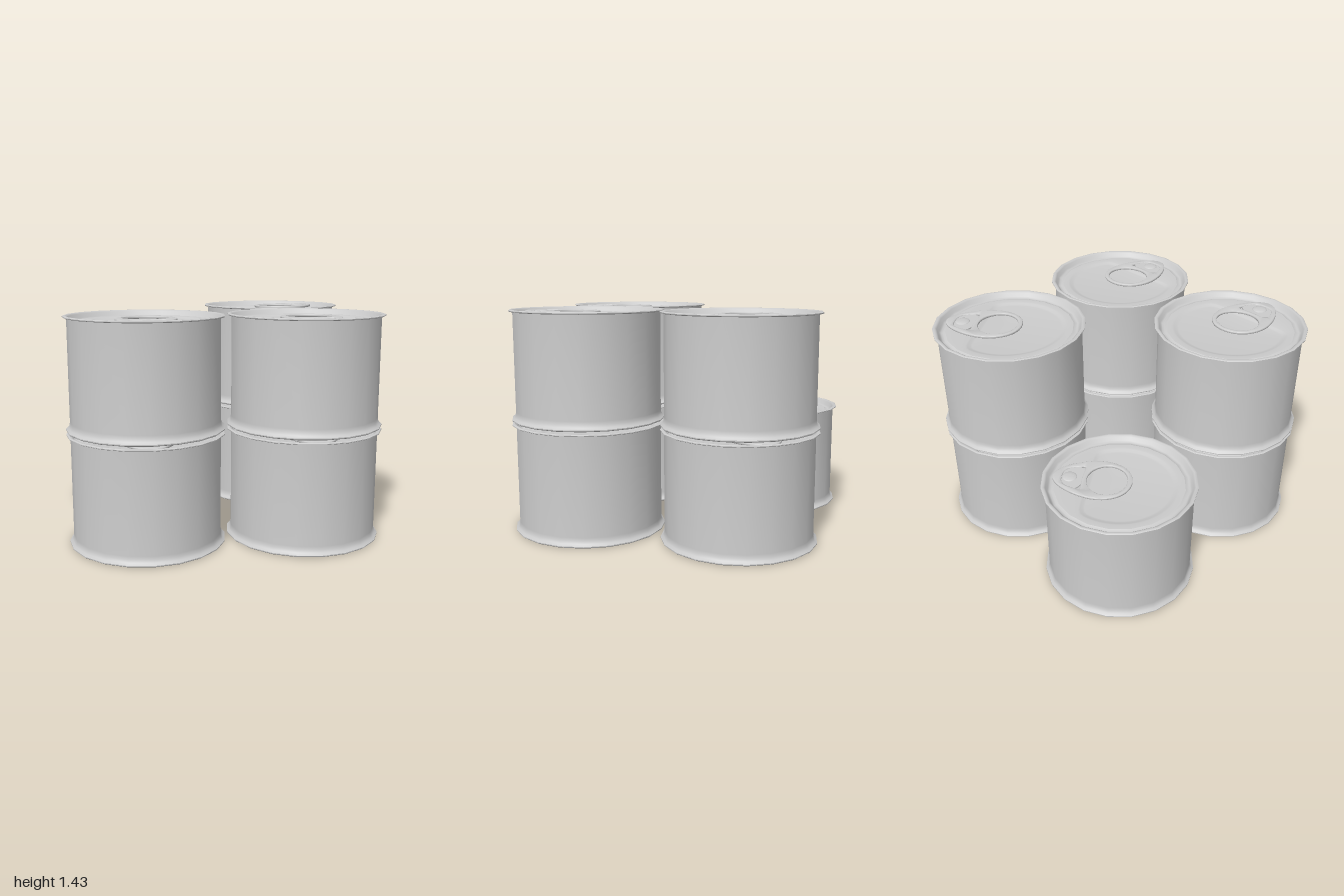
import * as THREE from 'three';
import { toCreasedNormals } from 'three/addons/utils/BufferGeometryUtils.js';

const SIDES = 20;
const material = new THREE.MeshStandardMaterial({ color: 0xcccccc, side: THREE.DoubleSide });

function part(name, geometry, crease = 0.7) {
  const mesh = new THREE.Mesh(toCreasedNormals(geometry, crease), material);
  mesh.name = name;
  return mesh;
}

// Can wall with recessed base, flared foot, rolled rim and countersunk lid edge
function bodyGeometry() {
  const profile = [
    [0, 0.016], [0.455, 0.016], [0.465, 0.002], [0.475, 0], [0.487, 0], [0.495, 0.006],
    [0.495, 0.012], [0.48, 0.024], [0.472, 0.04], [0.47, 0.06], [0.47, 0.692],
    [0.487, 0.694], [0.495, 0.698], [0.495, 0.703], [0.489, 0.707], [0.477, 0.707],
    [0.466, 0.699], [0.455, 0.675], [0.443, 0.667], [0.43, 0.667], [0.415, 0.674],
  ].map(([x, y]) => new THREE.Vector2(x, y));
  return new THREE.LatheGeometry(profile, SIDES);
}

// Radius of the D-shaped panel outline: a circle cut by a chord with soft corners
function panelRadius(angle, radius, chord) {
  const cut = Math.max(Math.cos(angle), 0) / chord;
  return Math.pow(Math.pow(1 / radius, 16) + Math.pow(cut, 16), -1 / 16);
}

// Lid with a stepped D-shaped panel, lofted from the edge to the centre
function lidGeometry() {
  const n = SIDES * 4;
  const step = (2 * Math.PI) / SIDES;
  const edge = (a) => (0.415 * Math.cos(step / 2)) / Math.cos((a % step) - step / 2);
  const loops = [
    [edge, 0.674],
    [(a) => panelRadius(a, 0.375, 0.212), 0.674],
    [(a) => panelRadius(a, 0.362, 0.203), 0.671],
    [(a) => panelRadius(a, 0.345, 0.19), 0.664],
    [(a) => panelRadius(a, 0.332, 0.18), 0.662],
    [() => 0.0001, 0.662],
  ];
  const positions = [], index = [];
  loops.forEach(([radius, y], j) => {
    for (let i = 0; i < n; i++) {
      const a = (i / n) * Math.PI * 2;
      positions.push(radius(a) * Math.sin(a), y, radius(a) * Math.cos(a));
      if (j === loops.length - 1) continue;
      const p = j * n + i, q = j * n + ((i + 1) % n);
      index.push(p, q, p + n, q, q + n, p + n);
    }
  });
  const geometry = new THREE.BufferGeometry();
  geometry.setAttribute('position', new THREE.Float32BufferAttribute(positions, 3));
  geometry.setIndex(index);
  return geometry;
}

// Egg-shaped ring pull with a finger hole and a shallow pad near the tip
function tabGeometry() {
  const shape = new THREE.Shape();
  shape.moveTo(0, -0.08);
  shape.bezierCurveTo(0.11, -0.08, 0.185, 0.01, 0.185, 0.13);
  shape.bezierCurveTo(0.185, 0.24, 0.095, 0.43, 0, 0.43);
  shape.bezierCurveTo(-0.095, 0.43, -0.185, 0.24, -0.185, 0.13);
  shape.bezierCurveTo(-0.185, 0.01, -0.11, -0.08, 0, -0.08);
  const hole = new THREE.Path();
  hole.absellipse(0, 0.08, 0.142, 0.13, 0, Math.PI * 2, true);
  const pad = new THREE.Path();
  pad.moveTo(0, 0.24);
  pad.bezierCurveTo(0.07, 0.24, 0.115, 0.22, 0.11, 0.255);
  pad.bezierCurveTo(0.095, 0.33, 0.08, 0.37, 0, 0.37);
  pad.bezierCurveTo(-0.08, 0.37, -0.095, 0.33, -0.11, 0.255);
  pad.bezierCurveTo(-0.115, 0.22, -0.07, 0.24, 0, 0.24);
  shape.holes.push(hole, pad);
  const geometry = new THREE.ExtrudeGeometry(shape, {
    depth: 0.008, bevelThickness: 0.005, bevelSize: 0.008, bevelOffset: -0.008,
    bevelSegments: 3, curveSegments: 14,
  });
  return geometry.rotateX(Math.PI / 2).translate(0, 0.691, 0);
}

// Floor of the pad, following its taper
function padGeometry() {
  const geometry = new THREE.CylinderGeometry(0.12, 0.12, 0.008, 28);
  return geometry.scale(1, 1, 0.65).translate(0, 0.686, 0.302);
}

function rivetGeometry() {
  const dome = new THREE.SphereGeometry(0.048, 20, 8, 0, Math.PI * 2, 0, Math.PI / 2);
  return dome.scale(1, 0.2, 1).translate(0, 0.69, 0.32);
}

export function createModel() {
  const can = new THREE.Group();
  can.add(
    part('body', bodyGeometry()),
    part('lid', lidGeometry(), 1),
    part('pullTab', tabGeometry()),
    part('tabPad', padGeometry()),
    part('rivet', rivetGeometry()),
  );

  // Four stacks; the rear one at -x is a single can
  const model = new THREE.Group();
  model.name = 'stackedCans';
  for (const x of [-1, 1]) {
    for (const z of [-1, 1]) {
      const levels = x < 0 && z < 0 ? 1 : 2;
      for (let level = 0; level < levels; level++) {
        const copy = can.clone();
        copy.name = `${level ? 'upper' : 'lower'}${z > 0 ? 'Front' : 'Back'}${x > 0 ? 'Left' : 'Right'}Can`;
        copy.position.set(x * 0.505, level * 0.723, z * 0.505);
        copy.rotation.y = z > 0 ? 0 : THREE.MathUtils.degToRad(126);
        model.add(copy);
      }
    }
  }
  return model;
}
